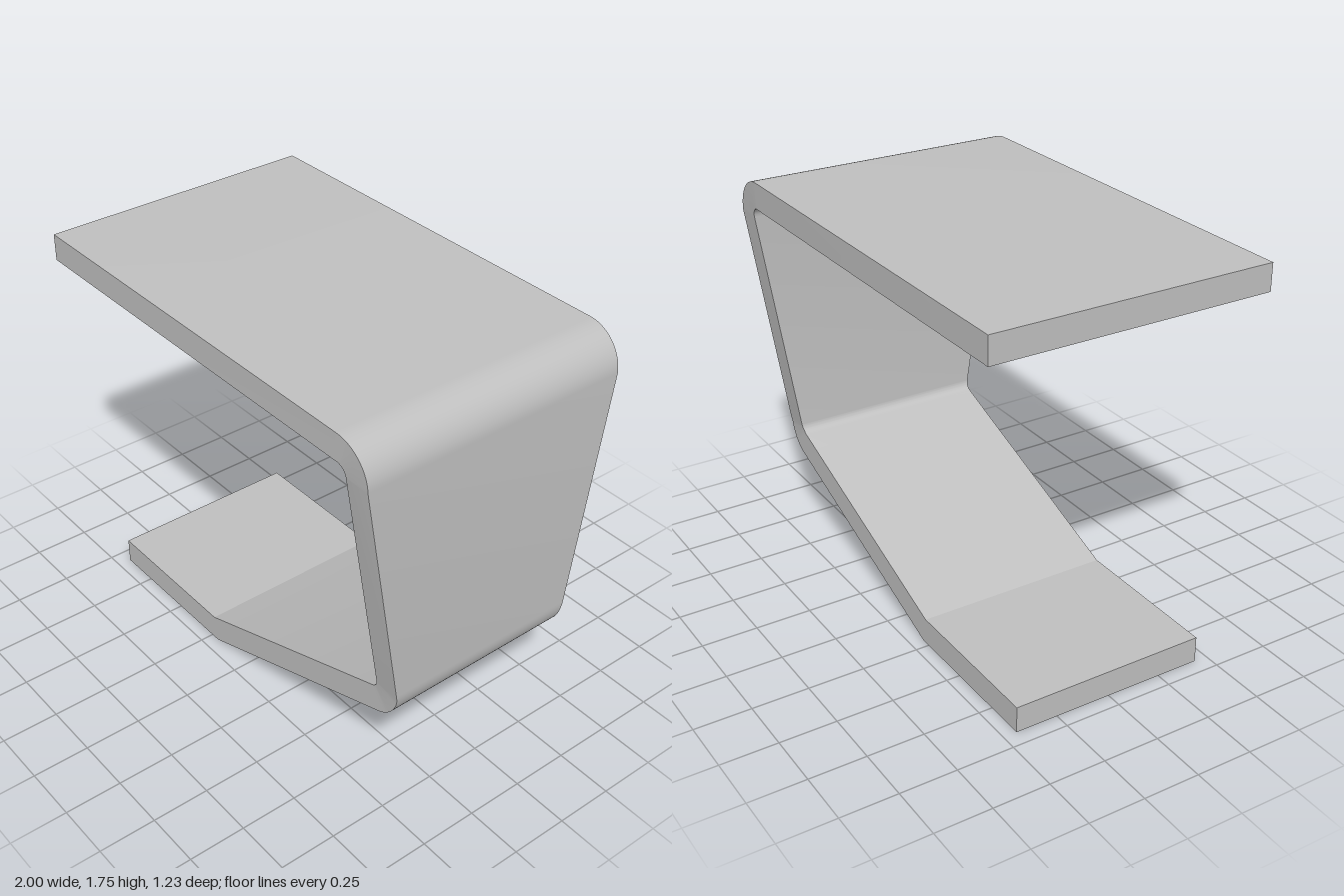
import * as THREE from 'three';
import { toCreasedNormals } from 'three/addons/utils/BufferGeometryUtils.js';

const WIDE = 0.616, SHOULDER = 0.608, NARROW = 0.44;
const OUTER = 0.167, INNER = 0.05, BEND_X = 0.833, TOP_Y = 1.588, LOW_Y = 0.557;

// Half width of the upright: tapers down to the narrow foot
const taper = (y) => THREE.MathUtils.clamp(
  THREE.MathUtils.mapLinear(y, 0.52, TOP_Y, NARROW, SHOULDER), NARROW, SHOULDER);

// Four corners of the strip: outer front, outer back, inner back, inner front
const section = (ox, oy, ix, iy, wo, wi = wo) => [
  [ox, oy, wo], [ox, oy, -wo], [ix, iy, -wi], [ix, iy, wi],
];

function stripSections() {
  const list = [section(-1, TOP_Y + OUTER, -1, TOP_Y + INNER, WIDE)];
  const bend = (cy, from, to, steps, width) => {
    for (let i = 0; i <= steps; i++) {
      const t = i / steps;
      const a = THREE.MathUtils.degToRad(from + (to - from) * t);
      const c = Math.cos(a), s = Math.sin(a);
      const oy = cy + OUTER * s, iy = cy + INNER * s;
      list.push(section(BEND_X + OUTER * c, oy, BEND_X + INNER * c, iy, width(oy, t), width(iy, t)));
    }
  };
  // Upper and lower rounded bends
  bend(TOP_Y, 90, 0, 14, (y, t) => WIDE + (SHOULDER - WIDE) * t);
  bend(LOW_Y, 0, -70, 14, (y) => taper(y));
  // Sharp fold, then the flat foot
  list.push(section(-0.207, 0, -0.228, 0.117, NARROW));
  list.push(section(-0.93, 0, -0.93, 0.117, NARROW));
  return list;
}

// Skin the sections and close both ends
function loft(sections) {
  const pos = [];
  const quad = (a, b, c, d) => pos.push(...a, ...b, ...c, ...a, ...c, ...d);
  for (let i = 0; i < sections.length - 1; i++) {
    const p = sections[i], q = sections[i + 1];
    for (let k = 0; k < 4; k++) {
      const n = (k + 1) % 4;
      quad(p[k], q[k], q[n], p[n]);
    }
  }
  const [a, b, c, d] = sections[0];
  quad(a, b, c, d);
  const [e, f, g, h] = sections[sections.length - 1];
  quad(h, g, f, e);
  const geo = new THREE.BufferGeometry();
  geo.setAttribute('position', new THREE.Float32BufferAttribute(pos, 3));
  return toCreasedNormals(geo, 0.15);
}

export function createModel() {
  const group = new THREE.Group();
  group.name = 'bentBracket';
  const grey = new THREE.MeshStandardMaterial({ color: 0xbfbfbf });
  grey.name = 'plain grey';
  const strip = new THREE.Mesh(loft(stripSections()), grey);
  strip.name = 'bentStrip';
  group.add(strip);
  return group;
}
